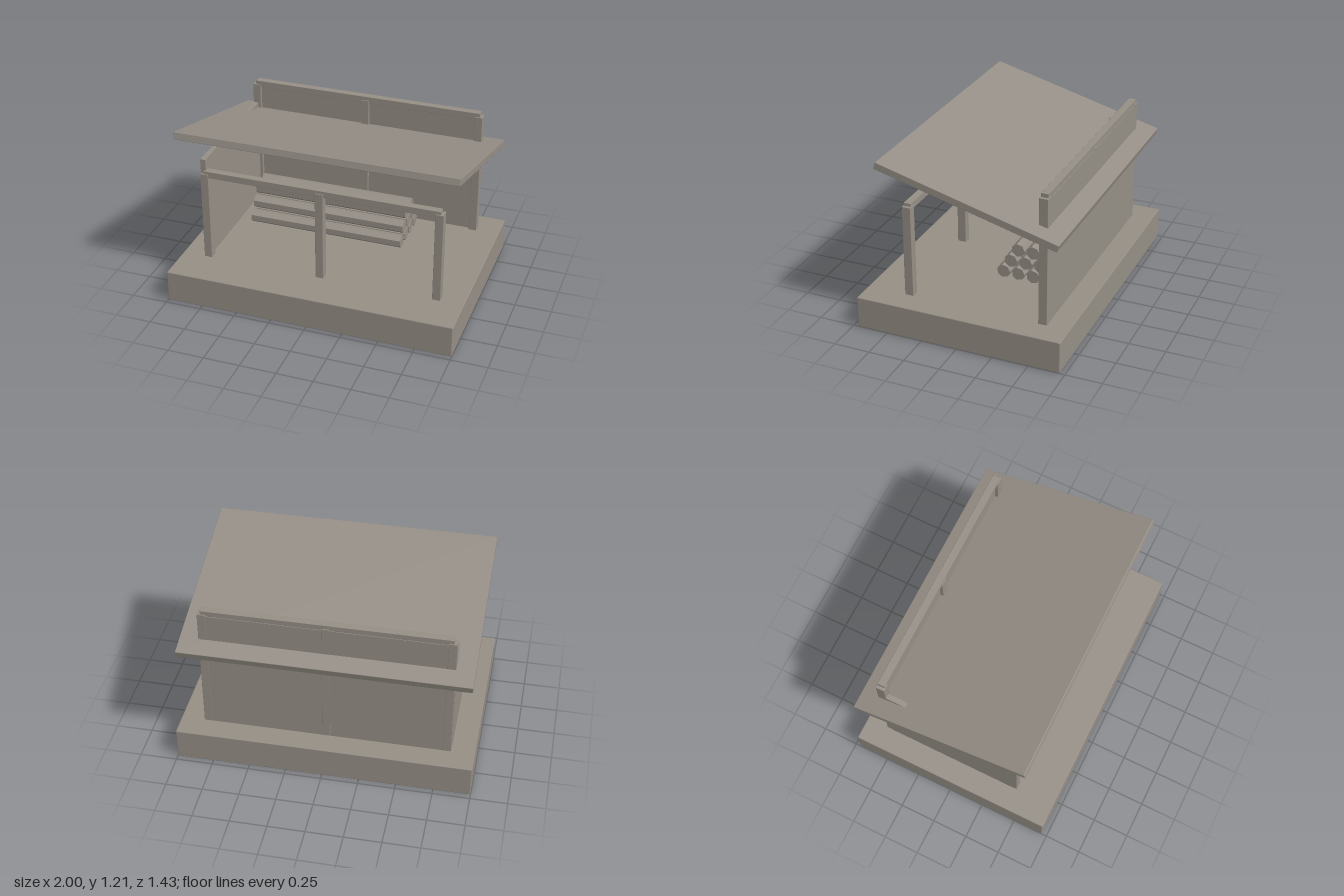
import * as THREE from 'three';
import { RoundedBoxGeometry } from 'three/addons/geometries/RoundedBoxGeometry.js';

export function createModel() {
  const model = new THREE.Group();
  model.name = 'woodShed';
  const greyWood = new THREE.MeshStandardMaterial({ color: 0x968f86 });
  greyWood.name = 'greyWood';

  const add = (parent, name, geometry, x, y, z) => {
    const mesh = new THREE.Mesh(geometry, greyWood);
    mesh.name = name;
    mesh.position.set(x, y, z);
    parent.add(mesh);
    return mesh;
  };

  // Box given by its limits, with optional narrow bevels
  const block = (parent, name, [x0, x1], [y0, y1], [z0, z1], bevel = 0) => {
    const size = [x1 - x0, y1 - y0, z1 - z0];
    const geometry = bevel
      ? new RoundedBoxGeometry(...size, 1, bevel)
      : new THREE.BoxGeometry(...size);
    return add(parent, name, geometry, (x0 + x1) / 2, (y0 + y1) / 2, (z0 + z1) / 2);
  };

  const floor = 0.222;

  // Base slab
  block(model, 'base', [-1, 1], [0, floor], [-0.715, 0.715], 0.007);

  // Post frames: short at the front, tall at the back, each with a top beam
  const frames = [
    { side: 'front', z: 0.411, postTop: 0.865, beamTop: 0.887 },
    { side: 'back', z: -0.532, postTop: 1.11, beamTop: 1.138 },
  ];
  for (const { side, z, postTop, beamTop } of frames) {
    const frame = new THREE.Group();
    frame.name = side + 'Frame';
    model.add(frame);
    for (const x of [-0.813, -0.002, 0.811]) {
      block(frame, side + 'Post', [x - 0.028, x + 0.028], [floor - 0.01, postTop], [z - 0.03, z + 0.03], 0.003);
    }
    block(frame, side + 'Beam', [-0.82, 0.82], [beamTop - 0.048, beamTop], [z - 0.025, z + 0.025], 0.003);
  }

  // Walls on the back and on one side
  block(model, 'backWall', [-0.825, 0.825], [floor - 0.005, 1.1], [-0.561, -0.525]);
  block(model, 'sideWall', [-0.842, -0.806], [floor - 0.005, 0.967], [-0.52, 0.425]);

  // Roof sloping down to the back
  const roof = add(model, 'roof', new RoundedBoxGeometry(1.93, 0.05, 1.278, 1, 0.004), 0, 1.021, -0.061);
  roof.rotation.x = -Math.PI / 12;

  // Stacked seven-sided logs
  const logs = new THREE.Group();
  logs.name = 'logStack';
  model.add(logs);
  const logGeometry = new THREE.CylinderGeometry(0.047, 0.047, 1.107, 7, 1, false, Math.PI)
    .rotateZ(Math.PI / 2)
    .toNonIndexed();
  logGeometry.computeVertexNormals();
  for (let row = 0; row < 3; row++) {
    const count = 4 - row;
    for (let i = 0; i < count; i++) {
      add(logs, 'log', logGeometry, -0.137, 0.292 + row * 0.0885, -0.238 + (i - (count - 1) / 2) * 0.1055);
    }
  }

  return model;
}
